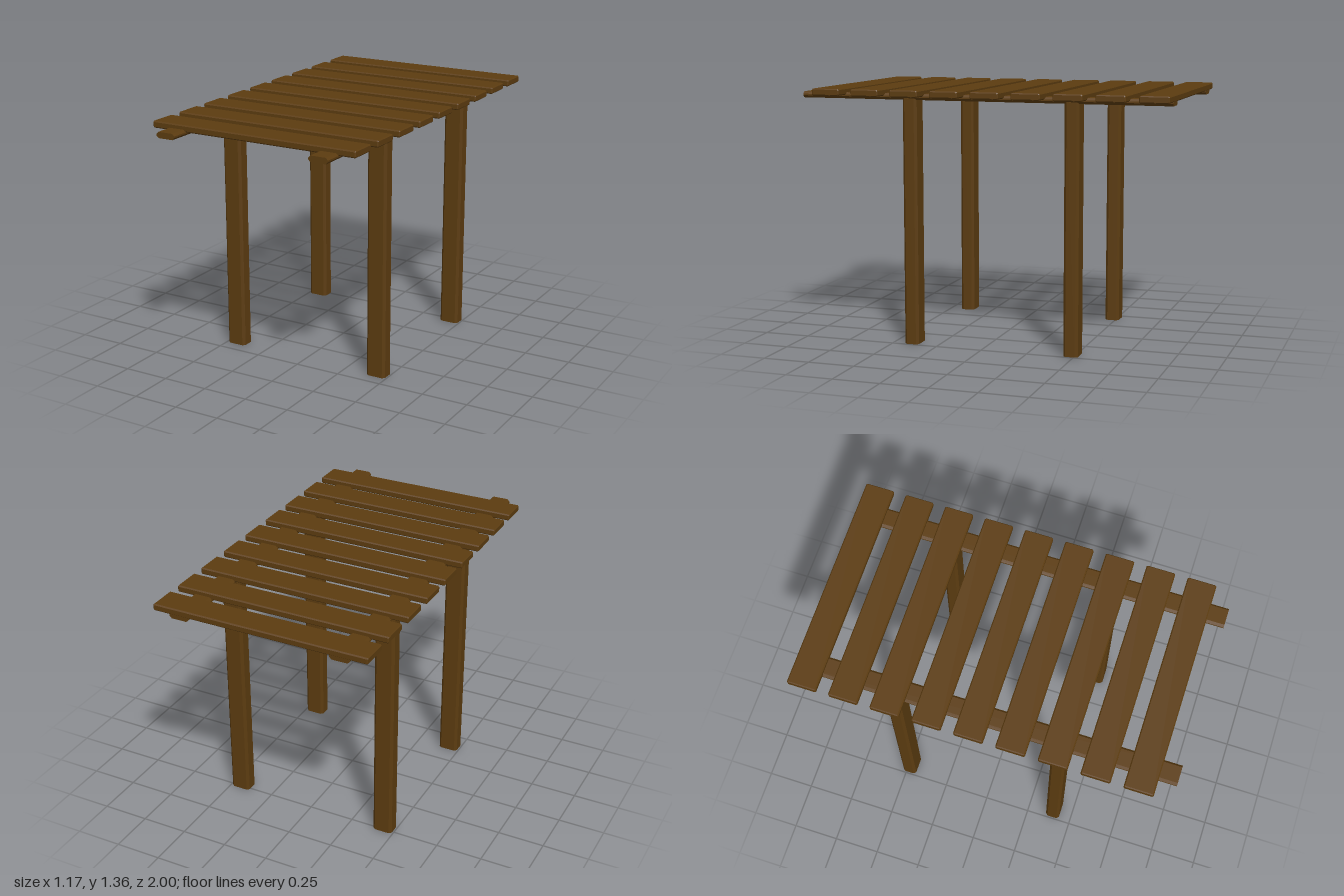
import * as THREE from 'three';

const wood = new THREE.MeshStandardMaterial({ color: 0x5c3c10, flatShading: true });

// Bar along z, centred, with chamfered long edges and optionally bevelled ends
function chamferedBar(width, height, length, chamfer, endBevel = 0) {
  const x = width / 2, y = height / 2, c = chamfer;
  const profile = new THREE.Shape([
    [x - c, -y], [x, -y + c], [x, y - c], [x - c, y],
    [-x + c, y], [-x, y - c], [-x, -y + c], [-x + c, -y],
  ].map(([px, py]) => new THREE.Vector2(px, py)));
  const depth = length - 2 * endBevel;
  return new THREE.ExtrudeGeometry(profile, {
    depth,
    bevelEnabled: endBevel > 0,
    bevelThickness: endBevel,
    bevelSize: endBevel,
    bevelOffset: -endBevel,
    bevelSegments: 1,
  }).translate(0, 0, -depth / 2);
}

export function createModel() {
  const group = new THREE.Group();
  const add = (name, geometry, x, y, z) => {
    const mesh = new THREE.Mesh(geometry, wood);
    mesh.name = name;
    mesh.position.set(x, y, z);
    group.add(mesh);
  };

  const postHeight = 1.31;
  const postGeometry = chamferedBar(0.108, 0.078, postHeight, 0.013).rotateX(-Math.PI / 2);
  const beamGeometry = chamferedBar(0.108, 0.032, 1.997, 0.012);
  const slatGeometry = chamferedBar(0.153, 0.036, 1.168, 0.006, 0.005).rotateY(Math.PI / 2);

  // Posts and the two long beams they carry
  for (const [side, x] of [['left', 0.438], ['right', -0.438]]) {
    add(`${side}FrontPost`, postGeometry, x, postHeight / 2, 0.395);
    add(`${side}BackPost`, postGeometry, x, postHeight / 2, -0.482);
    add(`${side}Beam`, beamGeometry, x, 1.317, 0.001);
  }

  // Roof slats laid across the beams
  for (let i = 0; i < 9; i++) {
    add(`roofSlat${i + 1}`, slatGeometry, 0, 1.338, -0.923 + i * 0.219);
  }
  return group;
}
